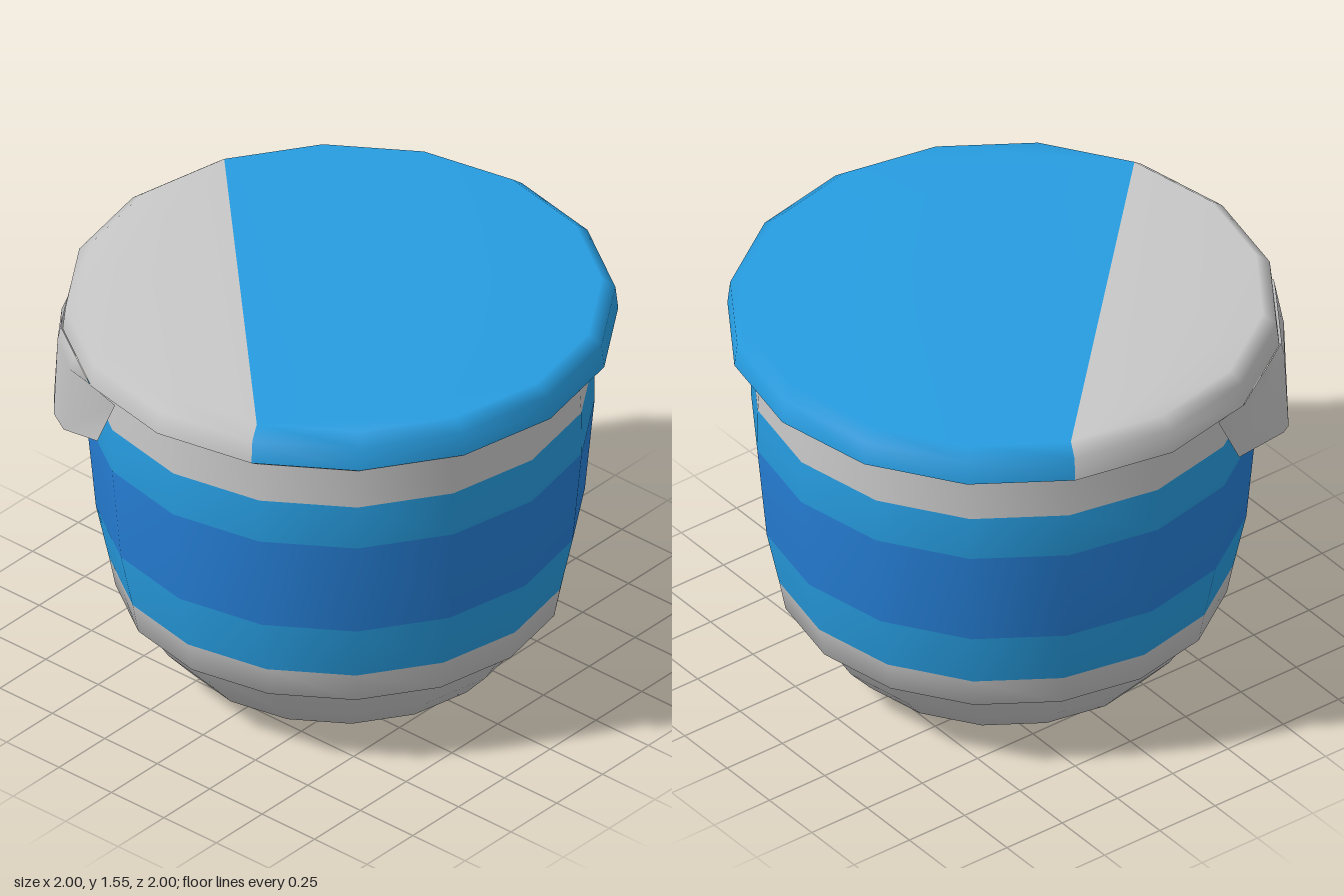
import * as THREE from 'three';

const SIDES = 16;
const white = new THREE.MeshStandardMaterial({ name: 'white', color: 0xc8c8c8, side: THREE.DoubleSide });
const blue = new THREE.MeshStandardMaterial({ name: 'blue', color: 0x279de1 });
const darkBlue = new THREE.MeshStandardMaterial({ name: 'darkBlue', color: 0x2680d8 });
const palette = [white, blue, darkBlue];

// Smooth turned shell; pick(segment, band) gives the palette index of each face.
// caps lists extra [colour, firstSegment, lastSegment] fans that close the top ring.
function turned(name, profile, pick, caps = []) {
  const n = profile.length;
  const geo = new THREE.LatheGeometry(profile.map(([r, y]) => new THREE.Vector2(r, y)), SIDES);
  const at = (i, j) => (i % SIDES) * n + j;
  const faces = palette.map(() => []);
  for (let i = 0; i < SIDES; i++) {
    for (let j = 0; j < n - 1; j++) {
      const a = at(i, j), b = at(i + 1, j), c = at(i + 1, j + 1), d = at(i, j + 1);
      const list = faces[pick(i, j)];
      if (profile[j][0] > 0) list.push(a, b, d);
      list.push(b, c, d);
    }
  }
  for (const [colour, first, last] of caps) {
    for (let k = first + 1; k < last; k++) {
      faces[colour].push(at(first, n - 1), at(k, n - 1), at(k + 1, n - 1));
    }
  }
  geo.setIndex(faces.flat());
  let start = 0;
  faces.forEach((list, m) => {
    if (list.length) geo.addGroup(start, list.length, m);
    start += list.length;
  });
  geo.computeVertexNormals();
  const mesh = new THREE.Mesh(geo, palette);
  mesh.name = name;
  return mesh;
}

// Pull tab: a curved sheet through rows of [x, y, z] points
function pullTab() {
  const rows = [
    [[-0.928, 1.43, 0.385], [-0.82, 1.43, 0.55], [-0.712, 1.43, 0.712], [-0.55, 1.43, 0.82], [-0.385, 1.43, 0.928]],
    [[-0.905, 1.375, 0.28], [-0.84, 1.375, 0.56], [-0.72, 1.375, 0.72], [-0.56, 1.375, 0.84], [-0.28, 1.375, 0.91]],
    [[-0.87, 1.15, 0.4], [-0.78, 1.09, 0.67], [-0.725, 1.06, 0.735], [-0.63, 1.06, 0.79], [-0.4, 1.15, 0.87]],
  ];
  const w = rows[0].length, index = [];
  for (let r = 0; r < rows.length - 1; r++) {
    for (let c = 0; c < w - 1; c++) {
      const a = r * w + c;
      index.push(a, a + w, a + 1, a + 1, a + w, a + w + 1);
    }
  }
  const geo = new THREE.BufferGeometry();
  geo.setAttribute('position', new THREE.Float32BufferAttribute(rows.flat(2), 3));
  geo.setIndex(index);
  geo.computeVertexNormals();
  const mesh = new THREE.Mesh(geo, white);
  mesh.name = 'pullTab';
  return mesh;
}

export function createModel() {
  const group = new THREE.Group();
  group.name = 'lidded cup';

  // Rounded foot of the cup
  group.add(turned('cupBase',
    [[0, 0], [0.48, 0], [0.6, 0.07], [0.69, 0.17], [0.755, 0.275]], () => 0));

  // Cup wall with painted bands, one colour per profile step
  const bands = [0, 0, 1, 2, 1, 0];
  group.add(turned('cupWall',
    [[0.74, 0.27], [0.81, 0.31], [0.833, 0.43], [0.88, 0.65], [0.915, 1.03], [0.913, 1.205], [0.903, 1.38]],
    (i, j) => bands[j]));

  // Flange under the lid
  group.add(turned('flange', [[0.89, 1.375], [0.935, 1.375], [1, 1.42]], () => 0));

  // Foil lid: white sector over segments 11 to 16 and 0, blue elsewhere
  group.add(turned('lid', [[1, 1.42], [0.99, 1.51], [0.94, 1.55]],
    (i) => (i >= 11 || i < 1 ? 0 : 1), [[1, 1, 11], [0, 11, 17]]));

  group.add(pullTab());
  return group;
}
